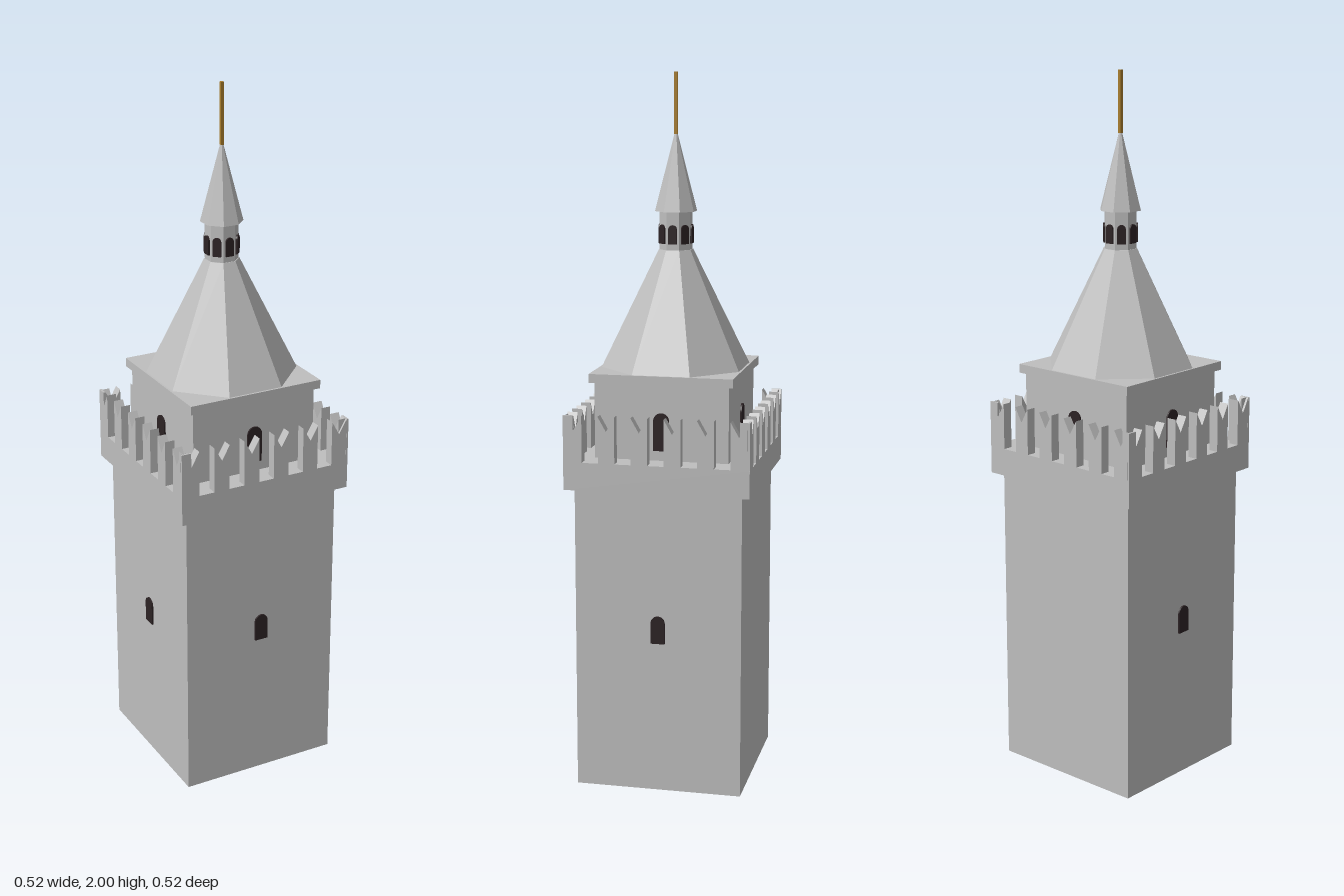
import * as THREE from 'three';

const stone = new THREE.MeshStandardMaterial({ color: 0xbebebe });
stone.name = 'stone';
stone.flatShading = true;
const stoneShell = new THREE.MeshStandardMaterial({ color: 0xbebebe, side: THREE.DoubleSide });
stoneShell.name = 'stone shell';
const dark = new THREE.MeshStandardMaterial({ color: 0x2c2224 });
dark.name = 'dark opening';
const gold = new THREE.MeshStandardMaterial({ color: 0xa87d2c });
gold.name = 'gilded pole';

export function createModel() {
  const tower = new THREE.Group();
  tower.name = 'tower';

  function add(name, geometry, material, parent = tower) {
    const mesh = new THREE.Mesh(geometry, material);
    mesh.name = name;
    parent.add(mesh);
    return mesh;
  }

  // square block between two heights
  function block(name, half, y0, y1) {
    add(name, new THREE.BoxGeometry(2 * half, y1 - y0, 2 * half), stone).position.y = (y0 + y1) / 2;
  }

  // eight-sided frustum, sized by its apothem, with flats facing the axes
  function octagon(name, bottom, top, y0, y1) {
    const k = 1 / Math.cos(Math.PI / 8);
    const g = new THREE.CylinderGeometry(top * k, bottom * k, y1 - y0, 8, 1, false, Math.PI / 8);
    add(name, g, stone).position.y = (y0 + y1) / 2;
  }

  // thin round-headed plate on a wall at the given distance and turn
  function arch(name, width, y0, y1, distance, angle) {
    const r = width / 2;
    const s = new THREE.Shape();
    s.moveTo(-r, y0);
    s.lineTo(r, y0);
    s.lineTo(r, y1 - r);
    s.absarc(0, y1 - r, r, 0, Math.PI, false);
    s.closePath();
    const g = new THREE.ExtrudeGeometry(s, { depth: 0.006, bevelEnabled: false, curveSegments: 6 });
    g.translate(0, 0, distance - 0.001);
    g.rotateY(angle);
    add(name, g, dark);
  }

  // shaft, open at the foot
  const shaft = new THREE.CylinderGeometry(0.236 * Math.SQRT2, 0.236 * Math.SQRT2, 0.87, 4, 1, true, Math.PI / 4).toNonIndexed();
  shaft.computeVertexNormals();
  add('shaft', shaft, stoneShell).position.y = 0.435;

  // parapet and its swallowtail merlons
  block('parapet', 0.261, 0.868, 0.947);
  const tail = new THREE.Shape([
    [-0.0233, 0.94], [0.0233, 0.94], [0.0233, 1.078], [0, 1.037], [-0.0233, 1.078],
  ].map(([x, y]) => new THREE.Vector2(x, y)));
  const merlon = new THREE.ExtrudeGeometry(tail, { depth: 0.0285, bevelEnabled: false });
  merlon.translate(0, 0, 0.2325);
  for (let side = 0; side < 4; side++) {
    const row = new THREE.Group();
    row.name = 'merlonRow';
    row.rotation.y = side * Math.PI / 2;
    for (let i = 0; i < 6; i++) add('merlon', merlon, stone, row).position.x = (i - 2.5) * 0.0925;
    // outer corner pier completing the last merlon
    const pier = new THREE.BoxGeometry(0.006, 0.138, 0.0285);
    add('cornerPier', pier, stone, row).position.set(0.258, 1.009, 0.2467);
    tower.add(row);
  }

  // upper chamber, cornice, roof, lantern and spire
  block('chamber', 0.189, 0.94, 1.165);
  block('cornice', 0.202, 1.16, 1.185);
  octagon('roof', 0.196, 0.045, 1.185, 1.513);
  octagon('lantern', 0.043, 0.043, 1.51, 1.622);
  octagon('spire', 0.055, 0.001, 1.619, 1.845);
  add('pole', new THREE.BoxGeometry(0.009, 0.17, 0.009), gold).position.y = 1.915;

  // openings; the back of the shaft is blind
  for (let i = 0; i < 4; i++) {
    const angle = i * Math.PI / 2;
    if (i !== 2) arch('shaftWindow', 0.04, 0.434, 0.513, 0.236, angle);
    arch('chamberWindow', 0.044, 0.975, 1.081, 0.189, angle);
  }
  for (let i = 0; i < 8; i++) arch('lanternWindow', 0.024, 1.53, 1.583, 0.043, i * Math.PI / 4);

  return tower;
}
